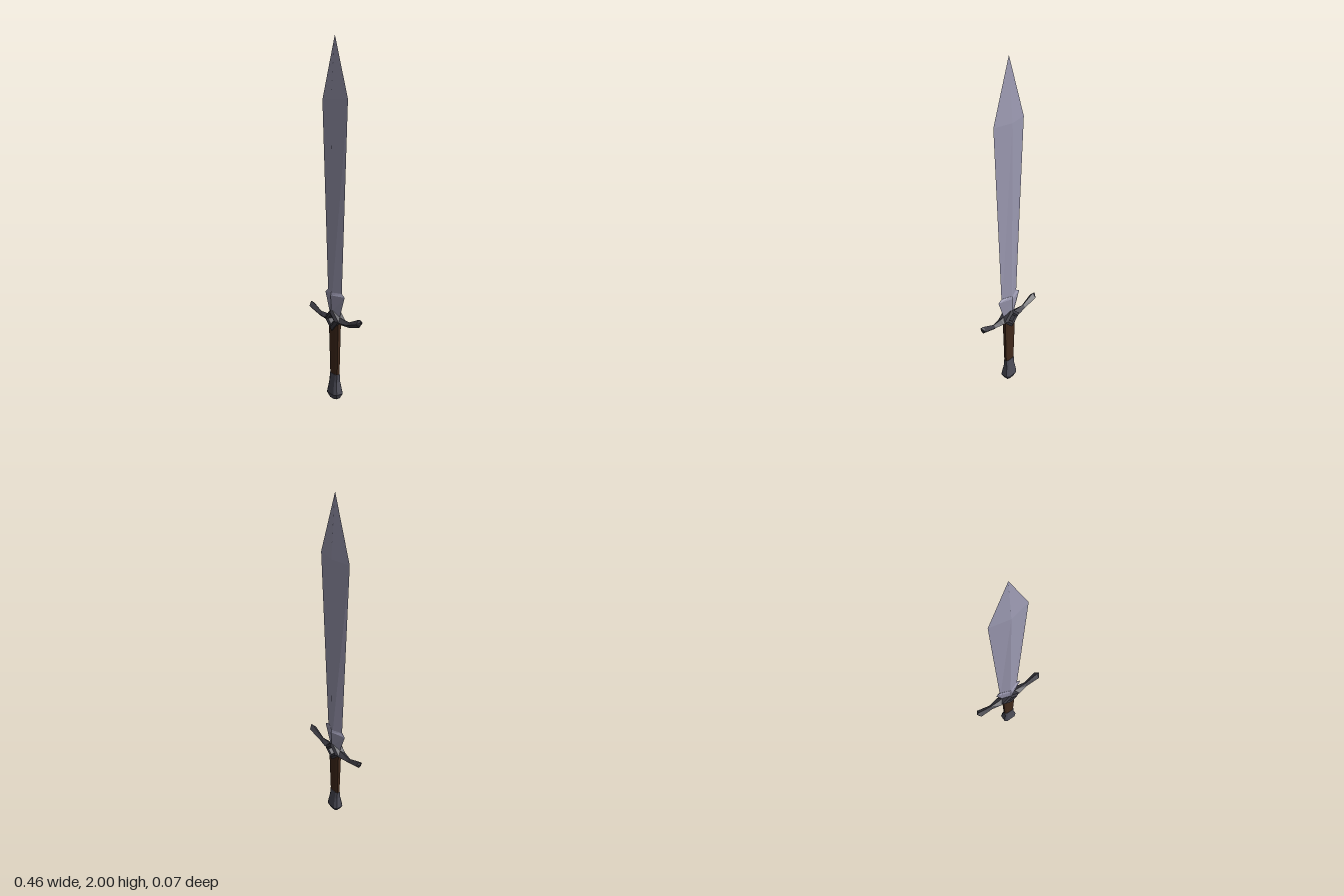
import * as THREE from 'three';

const DIAMOND = [[0, 1], [1, 0], [0, -1], [-1, 0]];
const C = 0.62;
const OCTAGON = [[C, 1], [1, C], [1, -C], [C, -1], [-C, -1], [-1, -C], [-1, C], [-C, 1]];

// Joins sections { y, w, d, lift, cx } upward; lift raises the outer x edges of a section.
function loft(shape, sections) {
  const n = shape.length;
  const pos = [];
  const index = [];
  for (const { y, w, d, lift = 0, cx = 0 } of sections) {
    for (const [x, z] of shape) pos.push(cx + x * w, y + lift * Math.abs(x), z * d);
  }
  for (let i = 0; i < sections.length - 1; i++) {
    for (let j = 0; j < n; j++) {
      const a = i * n + j;
      const b = i * n + (j + 1) % n;
      index.push(a, b, b + n, a, b + n, a + n);
    }
  }
  const top = (sections.length - 1) * n;
  for (let j = 1; j < n - 1; j++) {
    index.push(0, j + 1, j, top, top + j, top + j + 1);
  }
  const geo = new THREE.BufferGeometry();
  geo.setAttribute('position', new THREE.Float32BufferAttribute(pos, 3));
  geo.setIndex(index);
  const flat = geo.toNonIndexed();
  flat.computeVertexNormals();
  return flat;
}

function material(name, color) {
  const m = new THREE.MeshStandardMaterial({ color, flatShading: true });
  m.name = name;
  return m;
}

export function createModel() {
  const group = new THREE.Group();
  const steel = material('pale steel', 0x9c9ab2);
  const iron = material('dark iron', 0x3c3b43);
  const pommelIron = material('pommel iron', 0x4a4a55);
  const leather = material('brown leather', 0x40291b);

  const add = (name, geo, mat, parent = group) => {
    const mesh = new THREE.Mesh(geo, mat);
    mesh.name = name;
    parent.add(mesh);
    return mesh;
  };

  // Blade, widening toward the point
  add('blade', loft(DIAMOND, [
    { y: 0.55, w: 0.06, d: 0.024 },
    { y: 1.67, w: 0.113, d: 0.024 },
    { y: 2.0, w: 0.0005, d: 0.0005 },
  ]), steel);

  // Flared blade base, notched to sit on the guard ring
  add('bladeBase', loft(DIAMOND, [
    { y: 0.505, w: 0.042, d: 0.026, lift: -0.03 },
    { y: 0.605, w: 0.089, d: 0.029 },
    { y: 0.622, w: 0.064, d: 0.025 },
  ]), steel);

  // Guard: open diamond ring with two upswept arms
  const guard = new THREE.Group();
  guard.name = 'guard';
  group.add(guard);
  const profile = [
    [0.025, -0.028], [0.042, -0.034], [0.064, -0.024], [0.064, 0.024],
    [0.042, 0.034], [0.025, 0.028], [0.025, -0.028],
  ].map(([r, y]) => new THREE.Vector2(r, y));
  const ring = new THREE.LatheGeometry(profile, 4).toNonIndexed();
  ring.rotateX(Math.PI / 2);
  ring.computeVertexNormals();
  add('guardRing', ring, iron, guard).position.y = 0.465;

  // Lofted upright, then laid along x
  const arm = loft(DIAMOND, [
    { y: 0.044, w: 0.018, d: 0.027, cx: -0.465 },
    { y: 0.07, w: 0.019, d: 0.026, cx: -0.461 },
    { y: 0.13, w: 0.016, d: 0.014, cx: -0.462 },
    { y: 0.217, w: 0.023, d: 0.023, cx: -0.492 },
    { y: 0.232, w: 0.012, d: 0.004, cx: -0.502 },
  ]);
  arm.rotateZ(-Math.PI / 2);
  add('leftGuardArm', arm, iron, guard);
  add('rightGuardArm', arm, iron, guard).rotation.y = Math.PI;

  // Grip, tapering down to the pommel
  add('grip', loft(OCTAGON, [
    { y: 0.13, w: 0.032, d: 0.013 },
    { y: 0.415, w: 0.043, d: 0.016, lift: 0.033 },
  ]), leather);

  // Pommel
  add('pommel', loft(OCTAGON, [
    { y: 0, w: 0.029, d: 0.02 },
    { y: 0.03, w: 0.046, d: 0.033 },
    { y: 0.1, w: 0.033, d: 0.021 },
    { y: 0.145, w: 0.034, d: 0.015 },
  ]), pommelIron);

  return group;
}
